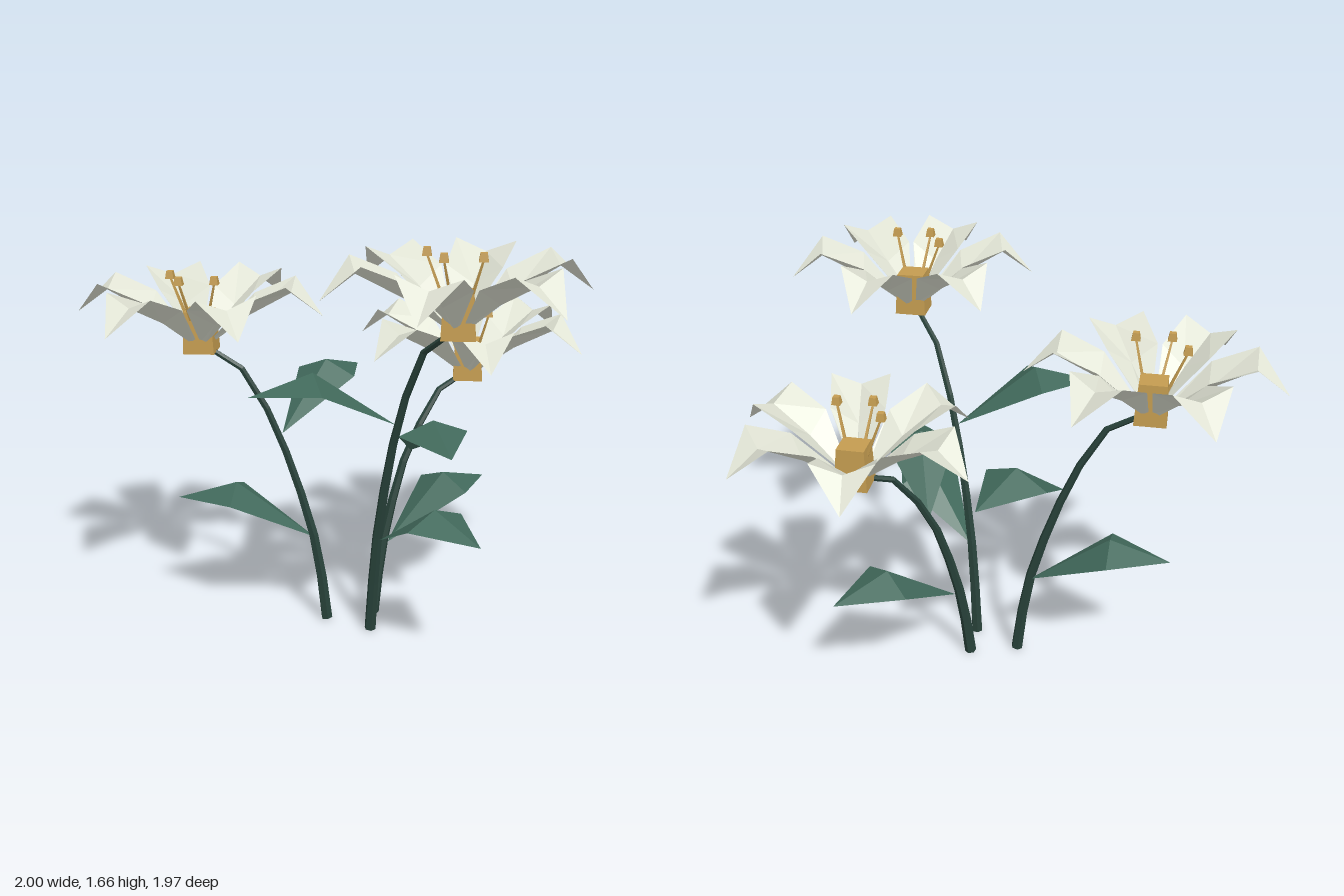
import * as THREE from 'three';

const mat = (name, color, side = THREE.FrontSide) => {
  const m = new THREE.MeshStandardMaterial({ color, side, flatShading: true });
  m.name = name;
  return m;
};

// Folded blade along +x; each row is [distance, halfWidth, edgeHeight, foldHeight]
function bladeGeometry(rows) {
  const pos = [];
  for (let i = 0; i < rows.length - 1; i++) {
    const [p, q] = [rows[i], rows[i + 1]].map(([r, w, e, m]) => [[r, e, -w], [r, m, 0], [r, e, w]]);
    for (let k = 0; k < 2; k++) {
      if (rows[i][1] > 0) pos.push(...p[k], ...p[k + 1], ...q[k]);
      if (rows[i + 1][1] > 0) pos.push(...p[k + 1], ...q[k + 1], ...q[k]);
    }
  }
  const g = new THREE.BufferGeometry();
  g.setAttribute('position', new THREE.Float32BufferAttribute(pos, 3));
  g.computeVertexNormals();
  return g;
}

// Tube that narrows towards its top
function stemGeometry(points, r0, r1) {
  const curve = new THREE.CatmullRomCurve3(points.map(p => new THREE.Vector3(...p)));
  const steps = 7, sides = 6;
  const g = new THREE.TubeGeometry(curve, steps, 1, sides);
  const pos = g.attributes.position, v = new THREE.Vector3();
  for (let i = 0; i <= steps; i++) {
    const c = curve.getPointAt(i / steps);
    const r = THREE.MathUtils.lerp(r0, r1, i / steps);
    for (let j = 0; j <= sides; j++) {
      const n = i * (sides + 1) + j;
      v.fromBufferAttribute(pos, n).sub(c).multiplyScalar(r).add(c);
      pos.setXYZ(n, v.x, v.y, v.z);
    }
  }
  g.computeVertexNormals();
  return g;
}

export function createModel() {
  const petalMat = mat('ivory petal', 0xdfe2d3, THREE.DoubleSide);
  const goldMat = mat('gold', 0xc49c50);
  const leafMat = mat('leaf green', 0x41695b, THREE.DoubleSide);
  const stemMat = mat('stem green', 0x28423a);

  const petalGeo = bladeGeometry([
    [0.04, 0.015, 0.045, 0.03], [0.2, 0.105, 0.215, 0.15],
    [0.365, 0.115, 0.285, 0.24], [0.49, 0, 0.15, 0.15],
  ]);
  const leafGeo = bladeGeometry([
    [0, 0, 0, 0], [0.32, 0.14, 0.18, 0.235], [0.565, 0, 0.16, 0.16],
  ]);
  const coreGeo = new THREE.CylinderGeometry(0.075, 0.0875, 0.165, 4);
  const antherGeo = new THREE.CylinderGeometry(0.017, 0.024, 0.03, 4);

  const root = new THREE.Group();
  const add = (parent, name, geo, material, x = 0, y = 0, z = 0, turn = 0) => {
    const m = new THREE.Mesh(geo, material);
    m.name = name;
    m.position.set(x, y, z);
    m.rotation.y = -turn;
    parent.add(m);
    return m;
  };

  // Each plant: flower position and turn, stem path, leaves as [x, y, z, dx, dz]
  const plants = [
    {
      flower: [0.505, 1.345, 0.1], turn: 0,
      stem: [[0.02, 0, 0.1], [0.065, 0.42, 0.1], [0.17, 0.88, 0.1], [0.26, 1.12, 0.1], [0.39, 1.33, 0.1], [0.5, 1.375, 0.1]],
      leaves: [[0.08, 0.42, 0.1, 1, 0], [0.19, 0.94, 0.11, -0.24, 0.53]],
    },
    {
      flower: [-0.04, 0.96, -0.5], turn: 34.6,
      stem: [[-0.083, 0, -0.005], [-0.078, 0.31, -0.055], [-0.065, 0.7, -0.18], [-0.055, 0.83, -0.26], [-0.05, 0.965, -0.385], [-0.04, 0.99, -0.5]],
      leaves: [[-0.07, 0.31, -0.075, 0, -1], [-0.055, 0.7, -0.19, 0.89, 0.45]],
    },
    {
      flower: [-0.535, 1.155, 0.5], turn: 16.6,
      stem: [[-0.174, 0, 0.175], [-0.205, 0.35, 0.205], [-0.31, 0.82, 0.3], [-0.37, 1, 0.36], [-0.44, 1.14, 0.43], [-0.53, 1.185, 0.5]],
      leaves: [[-0.215, 0.365, 0.2, -0.72, 0.7], [-0.31, 0.815, 0.28, -0.17, -0.54]],
    },
  ];

  for (const { flower, turn, stem, leaves } of plants) {
    const plant = new THREE.Group();
    plant.name = 'plant';
    root.add(plant);

    add(plant, 'stem', stemGeometry(stem, 0.024, 0.011), stemMat);
    const foot = add(plant, 'stemFoot', new THREE.CircleGeometry(0.024, 6), stemMat, ...stem[0]);
    foot.rotation.x = Math.PI / 2;
    for (const [x, y, z, dx, dz] of leaves)
      add(plant, 'leaf', leafGeo, leafMat, x, y, z, Math.atan2(dz, dx));

    const head = new THREE.Group();
    head.name = 'flower';
    head.position.set(...flower);
    plant.add(head);
    add(head, 'core', coreGeo, goldMat, 0, 0.0825, 0);
    for (let i = 0; i < 6; i++)
      add(head, 'petal', petalGeo, petalMat, 0, 0, 0, THREE.MathUtils.degToRad(turn + i * 60));

    // Stamens, leaning slightly outwards
    for (let i = 0; i < 3; i++) {
      const a = i * Math.PI * 0.4, c = Math.cos(a), s = Math.sin(a);
      const low = new THREE.Vector3(c * 0.05, 0.12, s * 0.05);
      const high = new THREE.Vector3(c * 0.115, 0.29, s * 0.115);
      const dir = high.clone().sub(low);
      const mid = low.clone().add(high).multiplyScalar(0.5);
      const filament = add(head, 'filament', new THREE.CylinderGeometry(0.005, 0.008, dir.length(), 4), goldMat, mid.x, mid.y, mid.z);
      filament.quaternion.setFromUnitVectors(new THREE.Vector3(0, 1, 0), dir.normalize());
      add(head, 'anther', antherGeo, goldMat, high.x, 0.3, high.z);
    }
  }
  return root;
}
